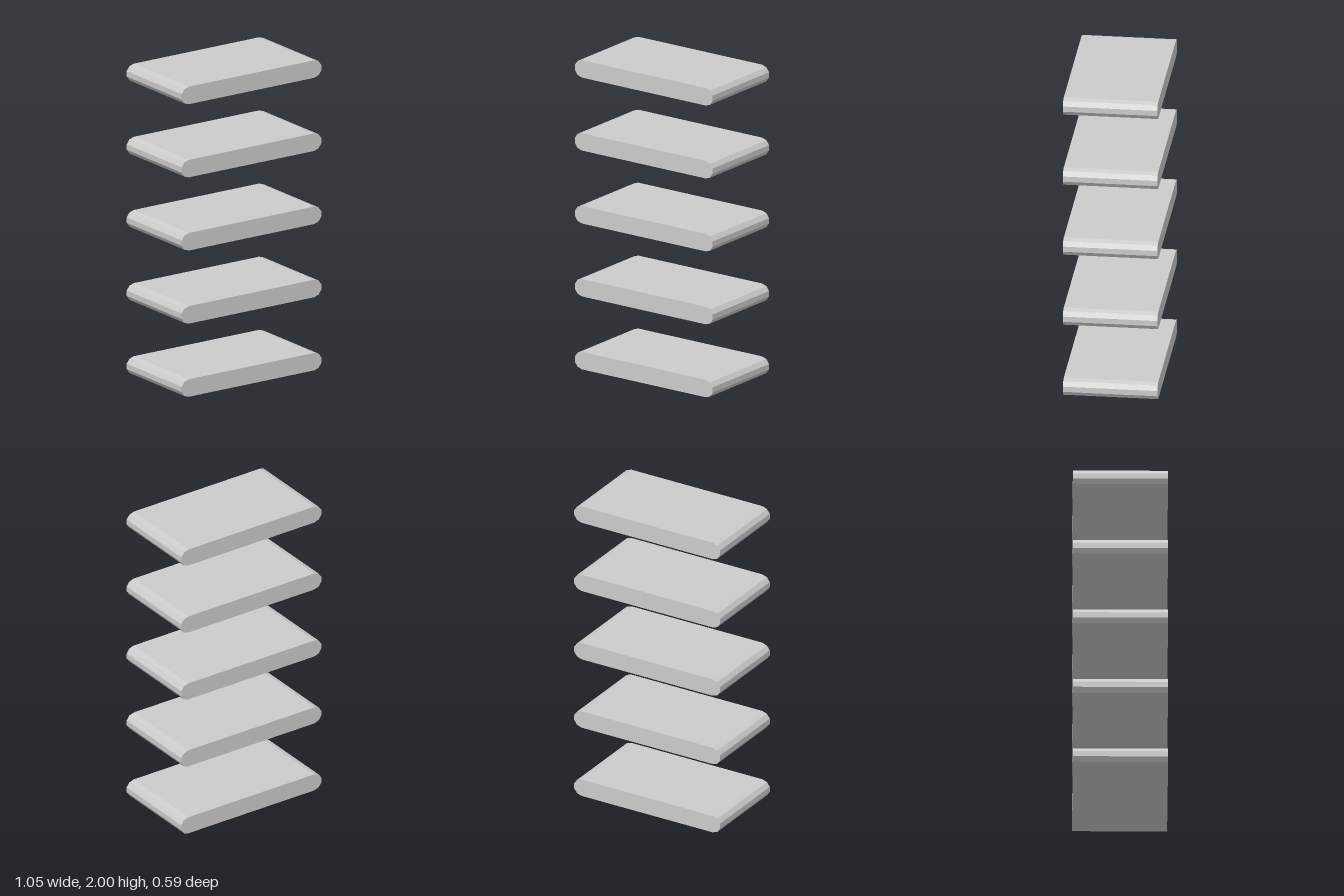
import * as THREE from 'three';

export function createModel() {
  const group = new THREE.Group();
  const grey = new THREE.MeshStandardMaterial({ color: 0xcccccc, flatShading: true });
  grey.name = 'light grey';

  // Slab cross-section: flat top and bottom, five-facet rounded ends
  const radius = 0.0565, endX = 0.473, depth = 0.586, facets = 5;
  const outline = [];
  for (const side of [1, -1]) {
    for (let i = 0; i <= facets; i++) {
      const a = -Math.PI / 2 + (Math.PI * i) / facets;
      outline.push(new THREE.Vector2(
        side * (endX + radius * Math.cos(a)),
        side * radius * Math.sin(a)
      ));
    }
  }
  const slab = new THREE.ExtrudeGeometry(new THREE.Shape(outline), { depth, bevelEnabled: false });
  slab.translate(0, 0, -depth / 2);

  // Five evenly spaced shelves
  const count = 5, spacing = (2 - 2 * radius) / (count - 1);
  for (let i = 0; i < count; i++) {
    const shelf = new THREE.Mesh(slab, grey);
    shelf.name = `shelf${i + 1}`;
    shelf.position.y = radius + i * spacing;
    group.add(shelf);
  }
  return group;
}
